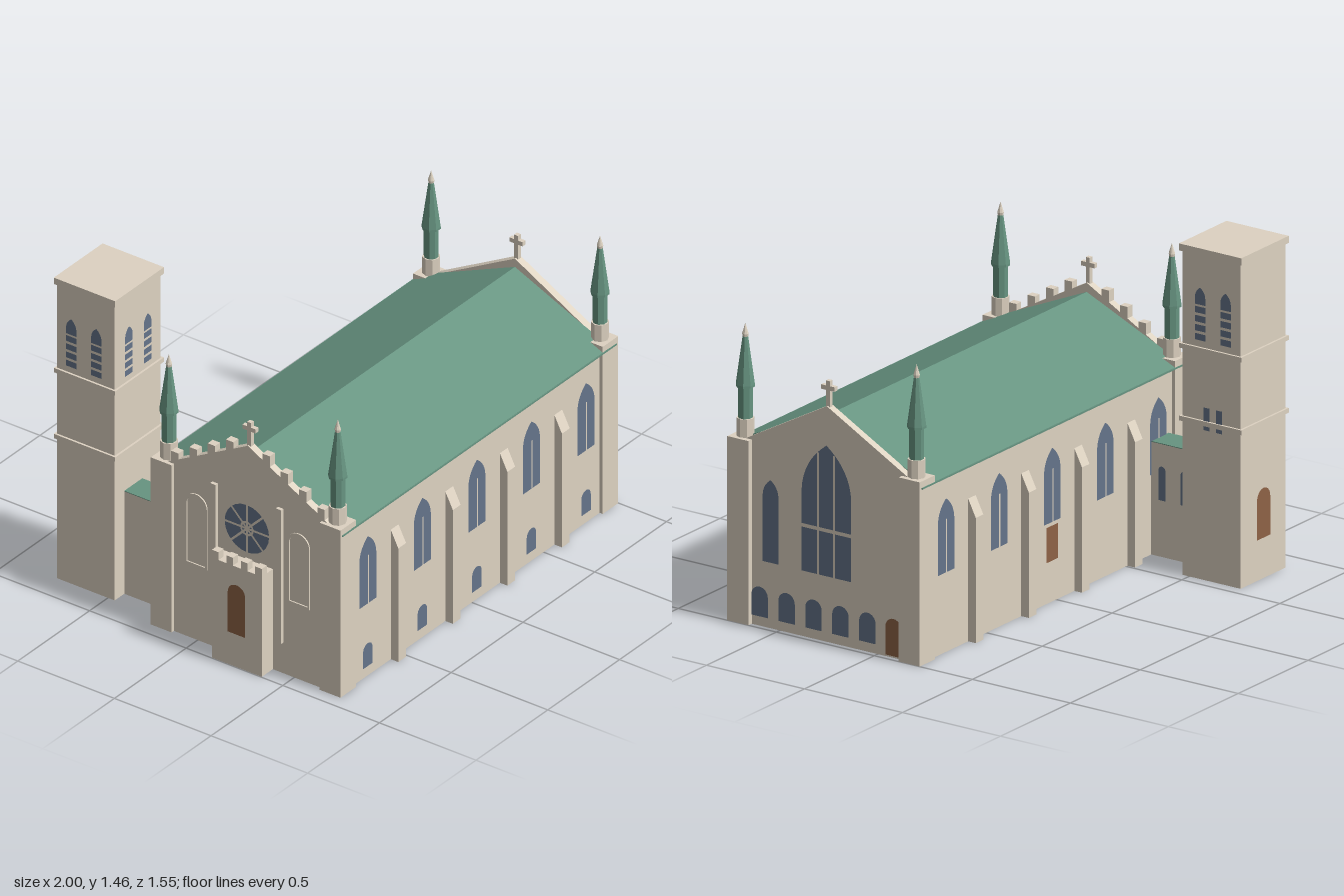
import * as THREE from 'three';

const mat = (name, color) => Object.assign(new THREE.MeshStandardMaterial({ color, flatShading: true }), { name });

export function createModel() {
  const stone = mat('stone', 0xddd2c1), green = mat('greenCopper', 0x679481);
  const glass = mat('blueGlass', 0x64748a), wood = mat('brownDoor', 0x8e6246);
  stone.side = THREE.DoubleSide; // walls are hollow shells, open underneath
  const root = new THREE.Group();
  root.name = 'church';
  const CZ = 0.26; // centre line of the nave

  const add = (name, geo, m, x = 0, y = 0, z = 0) => {
    const mesh = new THREE.Mesh(geo, m);
    mesh.name = name;
    mesh.position.set(x, y, z);
    root.add(mesh);
    return mesh;
  };
  // Box given by its limits; boxes on the ground have no bottom face
  const block = (name, m, x0, x1, y0, y1, z0, z1) => {
    const geo = new THREE.BoxGeometry(x1 - x0, y1 - y0, z1 - z0);
    if (y0 === 0) {
      const idx = Array.from(geo.index.array);
      idx.splice(18, 6);
      geo.setIndex(idx);
      geo.clearGroups();
    }
    return add(name, geo, m, (x0 + x1) / 2, (y0 + y1) / 2, (z0 + z1) / 2);
  };
  // Prism whose outline is [-z, y], running along x
  const prismX = (name, m, pts, x0, x1, zc) => {
    const shape = new THREE.Shape(pts.map(p => new THREE.Vector2(...p)));
    const geo = new THREE.ExtrudeGeometry(shape, { depth: x1 - x0, bevelEnabled: false });
    geo.rotateY(Math.PI / 2);
    return add(name, geo, m, x0, 0, zc);
  };
  // Put a flat mesh just outside a wall: u runs along the wall, plane is where the wall lies
  const turn = { front: 0, back: Math.PI, east: Math.PI / 2, west: -Math.PI / 2 };
  const onWall = (mesh, side, u, plane, lift, y = 0) => {
    mesh.rotation.y = turn[side];
    const out = plane + (side === 'front' || side === 'east' ? lift : -lift);
    if (side === 'front' || side === 'back') mesh.position.set(u, y, out);
    else mesh.position.set(out, y, u);
    return mesh;
  };
  const archShape = (w, y0, y1, kind) => {
    const h = w / 2, s = new THREE.Shape();
    s.moveTo(-h, y0);
    s.lineTo(h, y0);
    if (kind === 'pointed') {
      const sp = y1 - w * 0.86;
      s.lineTo(h, sp);
      s.quadraticCurveTo(h * 0.95, sp + (y1 - sp) * 0.6, 0, y1);
      s.quadraticCurveTo(-h * 0.95, sp + (y1 - sp) * 0.6, -h, sp);
    } else if (kind === 'round') {
      s.absarc(0, y1 - h, h, 0, Math.PI, false);
    } else {
      s.lineTo(h, y1);
      s.lineTo(-h, y1);
    }
    s.closePath();
    return s;
  };
  const panel = (name, m, side, u, plane, w, y0, y1, kind, lift = 0.003) =>
    onWall(add(name, new THREE.ShapeGeometry(archShape(w, y0, y1, kind), 8), m), side, u, plane, lift);
  const bar = (name, side, u, plane, w, y0, y1) => panel(name, stone, side, u, plane, w, y0, y1, 'flat', 0.006);

  // Nave, roof and gables
  const half = 0.475, E = 0.975, W = -0.92;
  block('naveWalls', stone, W, E, 0, 0.779, CZ - half, CZ + half);
  prismX('naveRoof', green, [[-0.491, 0.78], [0.491, 0.78], [0.491, 0.785], [0, 1.0], [-0.491, 0.785]], -0.885, 0.942, CZ);
  const gable = [[-half, 0.779], [half, 0.779], [0, 1.04]];
  prismX('westGable', stone, gable, W, -0.885, CZ);
  prismX('eastGable', stone, gable, 0.94, E, CZ);
  for (const s of [-1, 1]) {
    const z = CZ + s * 0.487;
    block('eave', green, -0.925, 0.985, 0.777, 0.784, z - 0.007, z + 0.007);
  }
  for (const x of [-0.9025, 0.9575]) {
    block('crossPost', stone, x - 0.01, x + 0.01, 1.02, 1.15, CZ - 0.01, CZ + 0.01);
    block('crossArm', stone, x - 0.01, x + 0.01, 1.108, 1.128, CZ - 0.034, CZ + 0.034);
  }
  for (const s of [-1, 1]) for (let i = 1; i <= 4; i++) {
    const z = CZ + s * i * 0.0945, top = 1.082 - i * 0.0945 * 0.557;
    block('gableMerlon', stone, W, -0.885, top - 0.065, top, z - 0.019, z + 0.019);
  }

  // Corner piers with spires
  const spire = [[0.032, 0.893], [0.032, 1.03], [0.041, 1.03], [0.041, 1.04], [0.012, 1.25]];
  const finial = [[0.012, 1.25], [0.014, 1.262], [0, 1.309]];
  const lathe = pts => new THREE.LatheGeometry(pts.map(p => new THREE.Vector2(...p)), 8, Math.PI / 8);
  for (const x of [-0.882, 0.945]) for (const s of [-1, 1]) {
    const z = CZ + s * 0.437;
    block('cornerPier', stone, x - 0.054, x + 0.054, 0, 0.813, z - 0.054, z + 0.054);
    add('spireBase', new THREE.CylinderGeometry(0.038, 0.038, 0.08, 8), stone, x, 0.853, z);
    add('spire', lathe(spire), green, x, 0, z);
    add('spireFinial', lathe(finial), stone, x, 0, z);
  }

  // Buttresses with sloping heads, on both long walls
  for (const s of [-1, 1]) for (let i = 0; i < 4; i++) {
    const x = -0.537 + i * 0.38;
    const pts = [[half, 0], [0.514, 0], [0.514, 0.553], [half, 0.63]].map(([z, y]) => [-z * s, y]);
    prismX('buttress', stone, pts, x - 0.027, x + 0.027, CZ);
  }

  // Long wall windows
  for (let i = 0; i < 5; i++) {
    const x = -0.728 + i * 0.38;
    for (const [side, z] of [['front', CZ + half], ['back', CZ - half]]) {
      panel('lancetWindow', glass, side, x, z, 0.118, 0.353, 0.68, 'pointed');
      bar('lancetMullion', side, x, z, 0.008, 0.353, 0.59);
    }
    panel('lowWindow', glass, 'front', x, CZ + half, 0.066, 0.048, 0.16, 'round');
  }
  panel('sideDoor', wood, 'back', 0.032, CZ - half, 0.08, 0.182, 0.337, 'flat');

  // East front
  panel('greatWindow', glass, 'east', CZ, E, 0.253, 0.29, 0.867, 'pointed');
  for (const s of [-1, 1]) bar('greatMullion', 'east', CZ + s * 0.041, E, 0.011, 0.29, 0.83);
  bar('greatTransom', 'east', CZ, E, 0.253, 0.485, 0.501);
  panel('eastLancet', glass, 'east', 0.545, E, 0.08, 0.29, 0.655, 'pointed');
  for (let i = 0; i < 5; i++) panel('cryptWindow', glass, 'east', 0.601 - i * 0.1375, E, 0.084, 0.042, 0.173, 'round');
  panel('eastDoor', wood, 'east', -0.081, E, 0.08, 0.008, 0.173, 'round');

  // West front: rose window, pilasters, blind arches
  const roseY = 0.64, roseR = 0.12;
  onWall(add('roseWindow', new THREE.CircleGeometry(roseR, 24), glass), 'west', CZ, W, 0.003, roseY);
  for (let i = 0; i < 4; i++)
    onWall(add('roseSpoke', new THREE.PlaneGeometry(0.01, roseR * 2).rotateZ(i * Math.PI / 4), stone), 'west', CZ, W, 0.006, roseY);
  for (const r of [roseR, 0.03])
    onWall(add('roseRing', new THREE.RingGeometry(r - 0.005, r + 0.005, 24), stone), 'west', CZ, W, 0.007, roseY);
  for (const s of [-1, 1]) {
    block('westPilaster', stone, -0.936, W, 0.15, 0.8, CZ + s * 0.17 - 0.014, CZ + s * 0.17 + 0.014);
    const frame = archShape(0.115, 0.36, 0.71, 'round');
    frame.holes.push(new THREE.Path(archShape(0.095, 0.37, 0.7, 'round').getPoints(8)));
    onWall(add('blindArch', new THREE.ExtrudeGeometry(frame, { depth: 0.006, bevelEnabled: false, curveSegments: 8 }), stone), 'west', CZ + s * 0.265, W, 0.001);
  }

  // West porch
  block('porch', stone, -0.997, W, 0, 0.487, CZ - 0.129, CZ + 0.129);
  for (let i = 0; i < 4; i++) {
    const z = CZ - 0.112 + i * 0.0747;
    block('porchMerlon', stone, -0.997, -0.962, 0.487, 0.525, z - 0.017, z + 0.017);
  }
  panel('westDoor', wood, 'west', CZ, -0.997, 0.09, 0.16, 0.4, 'round');

  // Bell tower
  const tx = -0.712, tz = -0.614, hx = 0.16, hz = 0.149;
  block('towerShaft', stone, tx - hx, tx + hx, 0, 1.44, tz - hz, tz + hz);
  for (const [y0, y1] of [[0.683, 0.704], [1.004, 1.025], [1.433, 1.464]])
    block('towerBand', stone, tx - hx - 0.01, tx + hx + 0.01, y0, y1, tz - hz - 0.01, tz + hz + 0.01);
  for (const [side, c, plane] of [['front', tx, tz + hz], ['east', tz - 0.009, tx + hx], ['west', tz - 0.009, tx - hx]])
    for (const s of [-1, 1]) {
      const u = c + s * 0.065;
      panel('belfryArch', glass, side, u, plane, 0.053, 1.212, 1.288, 'pointed');
      for (let i = 0; i < 4; i++) panel('belfryLouvre', glass, side, u, plane, 0.053, 1.055 + i * 0.04, 1.083 + i * 0.04, 'flat');
    }
  for (const z of [-0.591, -0.655]) panel('towerSlit', glass, 'east', z, tx + hx, 0.032, 0.663, 0.763, 'flat');
  panel('towerDoor', wood, 'back', tx, tz - hz, 0.095, 0.18, 0.4, 'round');

  // Link between nave and tower
  block('link', stone, -0.805, -0.68, 0, 0.498, tz + hz, CZ - half);
  block('linkRoof', green, -0.805, -0.68, 0.498, 0.501, tz + hz, CZ - half);
  for (const z of [-0.272, -0.385]) panel('linkWindow', glass, 'east', z, -0.68, 0.036, 0.25, 0.4, 'round');

  return root;
}
